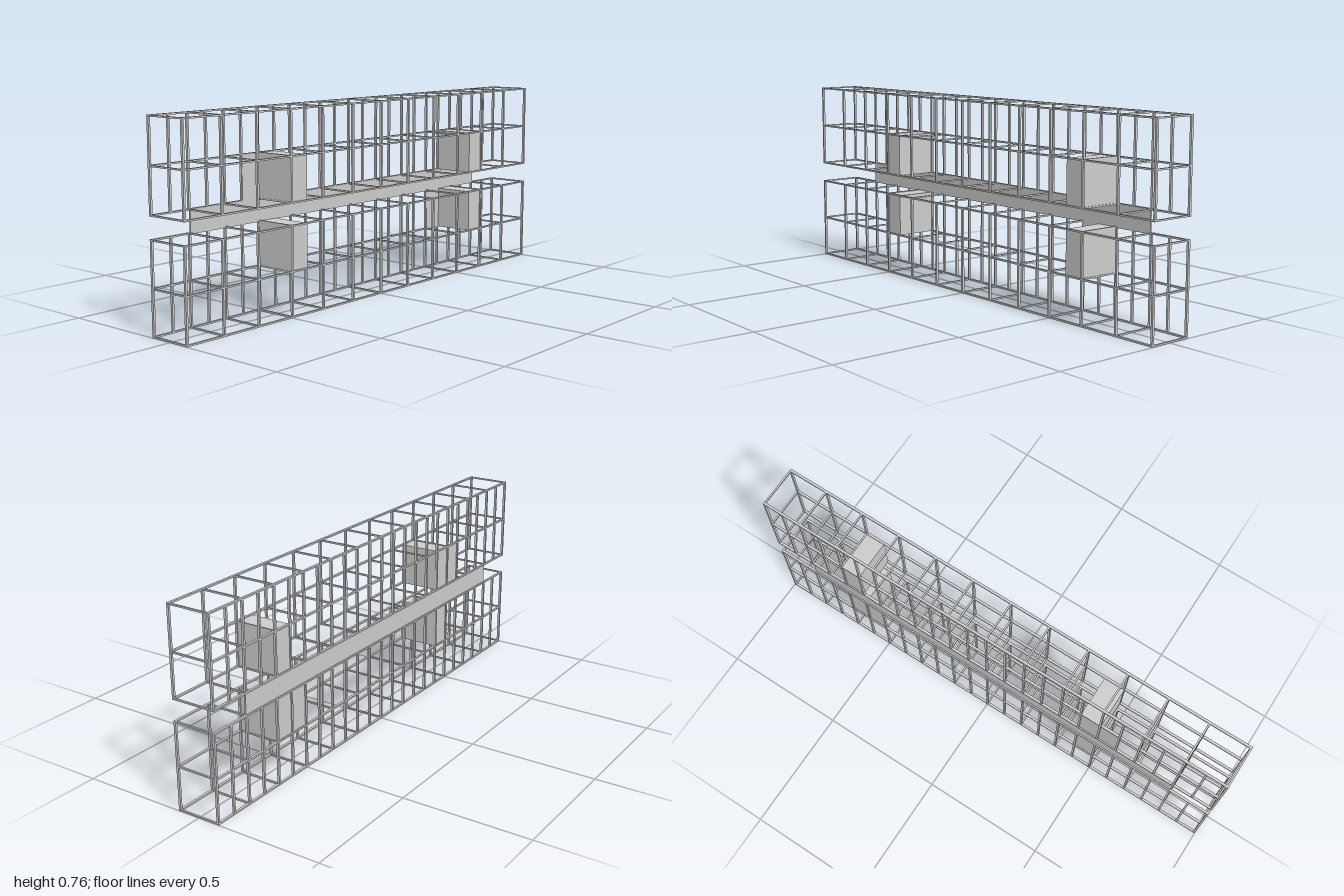
import * as THREE from 'three';

export function createModel() {
  const model = new THREE.Group();
  const material = new THREE.MeshStandardMaterial({ color: 0xcccccc, flatShading: true });

  const cell = 1 / 6;          // cube cell of the lattice
  const half = cell / 2;
  const rail = 0.006;          // height of the horizontal bars
  const depth = 0.0835;        // z of the front and back faces
  const span = 0.996;          // x of the outermost uprights

  function box(name, parent, size, pos) {
    const mesh = new THREE.Mesh(new THREE.BoxGeometry(...size), material);
    mesh.position.set(...pos);
    mesh.name = name;
    parent.add(mesh);
    return mesh;
  }

  // One wire rack, two cells high and twelve cells long
  function rack(name, base) {
    const group = new THREE.Group();
    group.name = name;
    for (let level = 0; level < 3; level++) {
      const y = base + level * cell;
      for (const side of [-1, 1]) {
        box('longRail', group, [2, rail, 0.01], [0, y, side * depth]);
      }
      for (let i = 0; i <= 12; i++) {
        const x = -span + (i * span) / 6;
        box('crossBar', group, [0.007, rail, 2 * depth], [x, y, 0]);
      }
    }
    // Uprights: whole cells on the front, half cells on the back
    for (let i = 0; i <= 24; i++) {
      const x = -span + (i * span) / 12;
      const y = base + cell;
      box('backUpright', group, [0.008, 2 * cell, 0.009], [x, y, -depth]);
      if (i % 2 === 0) box('frontUpright', group, [0.008, 2 * cell, 0.009], [x, y, depth]);
    }
    model.add(group);
  }

  const lowerBase = rail / 2;
  const upperBase = lowerBase + 2.5 * cell;
  rack('lowerRack', lowerBase);
  rack('upperRack', upperBase);

  // Half-cell storage boxes, stacked either side of the gap
  const lowerY = lowerBase + 1.5 * cell;
  const upperY = upperBase + 0.5 * cell;
  for (const x of [-0.458, 0.623]) {
    for (const y of [lowerY, upperY]) {
      box('storageBox', model, [half, cell, 2 * depth], [x, y, 0]);
    }
  }

  // Thin half-cell panels on the back
  box('upperBackPanel', model, [half, cell, 0.006], [-0.541, upperY, -0.08]);
  box('lowerBackPanel', model, [half, cell, 0.006], [0.54, lowerY, -0.08]);

  // Long plank joining the two racks along the back
  box('backPlank', model, [1.66, half, 0.006], [0, lowerBase + 2.25 * cell, -0.08]);

  return model;
}
